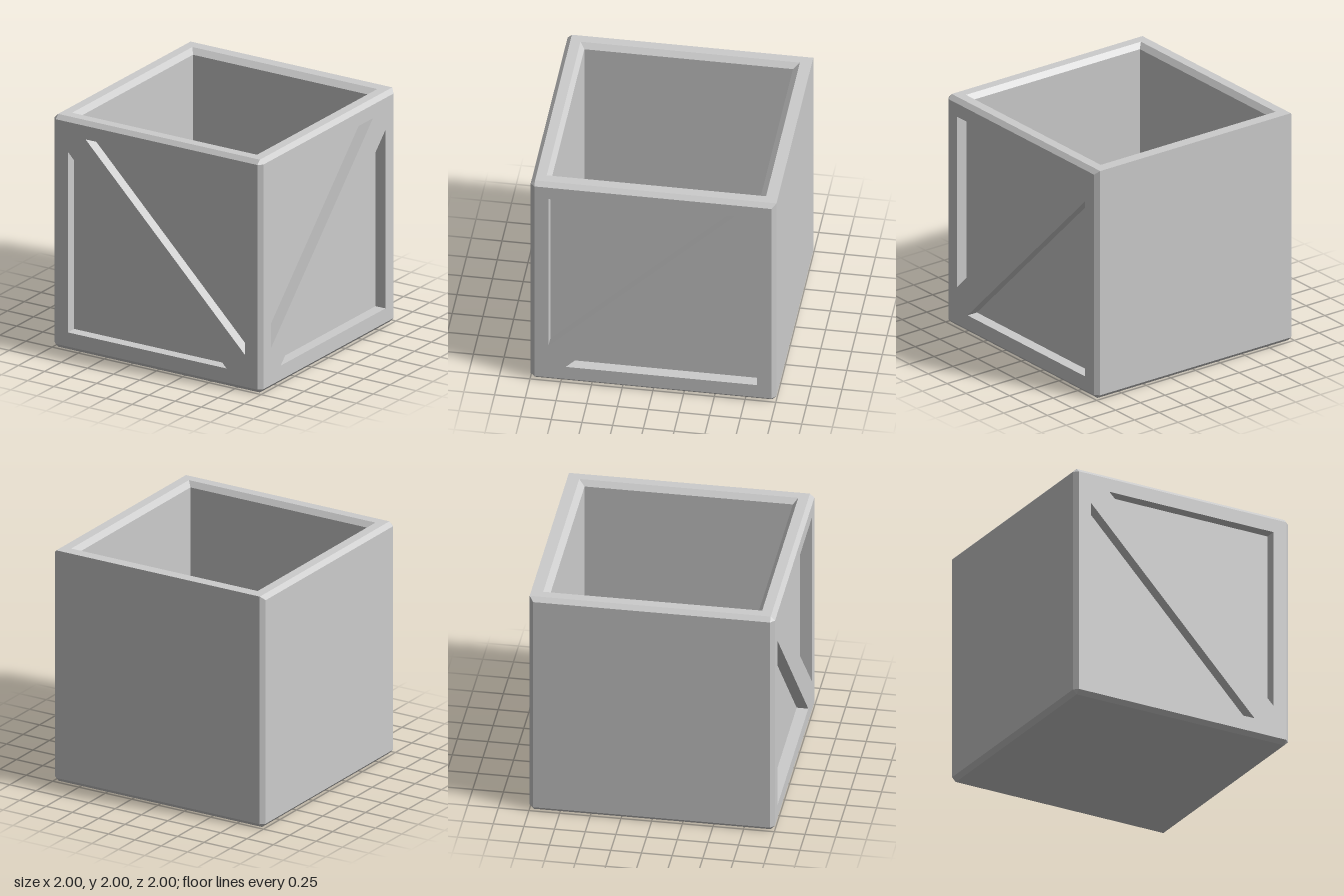
import * as THREE from 'three';

const plaster = new THREE.MeshStandardMaterial({ color: 0xcccccc });
plaster.name = 'light grey';

const C = 0.035;      // chamfer size
const E = 1 - C;      // edge of the flat faces
const T = 2 - C;      // top of the flat sides
const DEPTH = 0.095;  // depth of the side recesses

// Flat-shaded mesh from convex polygons; each is turned to face its given direction.
function facets(name, list) {
  const pos = [];
  const n = new THREE.Vector3();
  for (const [corners, facing] of list) {
    let p = corners.map(c => new THREE.Vector3(...c));
    n.crossVectors(p[1].clone().sub(p[0]), p[2].clone().sub(p[0]));
    if (n.dot(new THREE.Vector3(...facing)) < 0) p = p.reverse();
    for (let i = 1; i < p.length - 1; i++) {
      for (const v of [p[0], p[i], p[i + 1]]) pos.push(v.x, v.y, v.z);
    }
  }
  const geo = new THREE.BufferGeometry();
  geo.setAttribute('position', new THREE.Float32BufferAttribute(pos, 3));
  geo.computeVertexNormals();
  const mesh = new THREE.Mesh(geo, plaster);
  mesh.name = name;
  return mesh;
}

// Flat sheet with holes, facing +z.
function sheet(name, outline, holes) {
  const shape = new THREE.Shape(outline.map(p => new THREE.Vector2(...p)));
  for (const h of holes) shape.holes.push(new THREE.Path(h.map(p => new THREE.Vector2(...p))));
  const mesh = new THREE.Mesh(new THREE.ShapeGeometry(shape), plaster);
  mesh.name = name;
  return mesh;
}

// Side panel with triangular recesses, leaving a frame and a diagonal brace.
function bracedPanel(name, triangles) {
  const group = new THREE.Group();
  group.name = name;
  const frame = sheet('braceFrame', [[-E, C], [E, C], [E, T], [-E, T]], triangles);
  frame.position.z = 1;
  group.add(frame);
  const list = [];
  for (const tri of triangles) {
    const back = 1 - DEPTH;
    list.push([tri.map(([x, y]) => [x, y, back]), [0, 0, 1]]);
    const cx = (tri[0][0] + tri[1][0] + tri[2][0]) / 3;
    const cy = (tri[0][1] + tri[1][1] + tri[2][1]) / 3;
    tri.forEach(([ax, ay], i) => {
      const [bx, by] = tri[(i + 1) % 3];
      list.push([
        [[ax, ay, 1], [bx, by, 1], [bx, by, back], [ax, ay, back]],
        [cx - (ax + bx) / 2, cy - (ay + by) / 2, 0],
      ]);
    });
  }
  group.add(facets('recesses', list));
  return group;
}

export function createModel() {
  const model = new THREE.Group();
  model.name = 'crate';

  // Braced front and left sides
  model.add(bracedPanel('frontPanel', [
    [[-0.68, 1.85], [0.845, 1.85], [0.845, 0.31]],
    [[-0.85, 1.71], [-0.85, 0.157], [0.67, 0.157]],
  ]));
  const side = bracedPanel('leftPanel', [
    [[-0.85, 0.355], [-0.85, 1.85], [0.66, 1.85]],
    [[-0.71, 0.157], [0.845, 0.157], [0.845, 1.69]],
  ]);
  side.rotation.y = Math.PI / 2;
  model.add(side);

  // Plain sides and underside
  model.add(facets('backPanel', [[[[-E, C, -1], [E, C, -1], [E, 2, -1], [-E, 2, -1]], [0, 0, -1]]]));
  model.add(facets('rightPanel', [[[[-1, C, -E], [-1, C, E], [-1, T, E], [-1, T, -E]], [-1, 0, 0]]]));
  model.add(facets('underside', [[[[-E, 0, -E], [E, 0, -E], [E, 0, E], [-E, 0, E]], [0, -1, 0]]]));

  // Chamfered outer edges; the top back edge stays sharp
  const edges = [
    [[[-E, T, 1], [E, T, 1], [E, 2, E], [-E, 2, E]], [0, 1, 1]],
  ];
  for (const s of [-1, 1]) {
    edges.push([[[-E, C, s], [E, C, s], [E, 0, s * E], [-E, 0, s * E]], [0, -1, s]]);
    edges.push([[[s, C, -E], [s, C, E], [s * E, 0, E], [s * E, 0, -E]], [s, -1, 0]]);
    edges.push([[[s, T, -E], [s, T, E], [s * E, 2, E], [s * E, 2, -1]], [s, 1, 0]]);
    edges.push([[[s * E, C, 1], [s, C, E], [s, T, E], [s * E, T, 1]], [s, 0, 1]]);
    edges.push([[[s * E, C, -1], [s, C, -E], [s, T, -E], [s * E, 2, -1]], [s, 0, -1]]);
    // corner triangles
    edges.push([[[s, T, E], [s * E, 2, E], [s * E, T, 1]], [s, 1, 1]]);
    for (const z of [-1, 1]) {
      edges.push([[[s, C, z * E], [s * E, 0, z * E], [s * E, C, z]], [s, -1, z]]);
    }
  }
  model.add(facets('chamferedEdges', edges));

  // Top rim
  const rim = sheet('rim', [[-E, -E], [E, -E], [E, 1], [-E, 1]],
    [[[-0.885, -0.882], [0.885, -0.882], [0.885, 0.903], [-0.885, 0.903]]]);
  rim.rotation.x = -Math.PI / 2;
  rim.position.y = 2;
  model.add(rim);

  // Hollow interior: bevelled lip, walls and floor
  const ring = (x, back, front, y) => [[-x, y, back], [x, y, back], [x, y, front], [-x, y, front]];
  const rings = [
    ring(0.885, -0.903, 0.882, 2),
    ring(0.847, -0.853, 0.845, 1.957),
    ring(0.847, -0.853, 0.845, 0.15),
  ];
  const inward = [[0, 0, 1], [-1, 0, 0], [0, 0, -1], [1, 0, 0]];
  ['innerLip', 'innerWalls'].forEach((name, k) => {
    const [a, b] = [rings[k], rings[k + 1]];
    model.add(facets(name, inward.map((dir, i) => {
      const j = (i + 1) % 4;
      return [[a[i], a[j], b[j], b[i]], dir];
    })));
  });
  model.add(facets('innerFloor', [[rings[2], [0, 1, 0]]]));

  return model;
}
